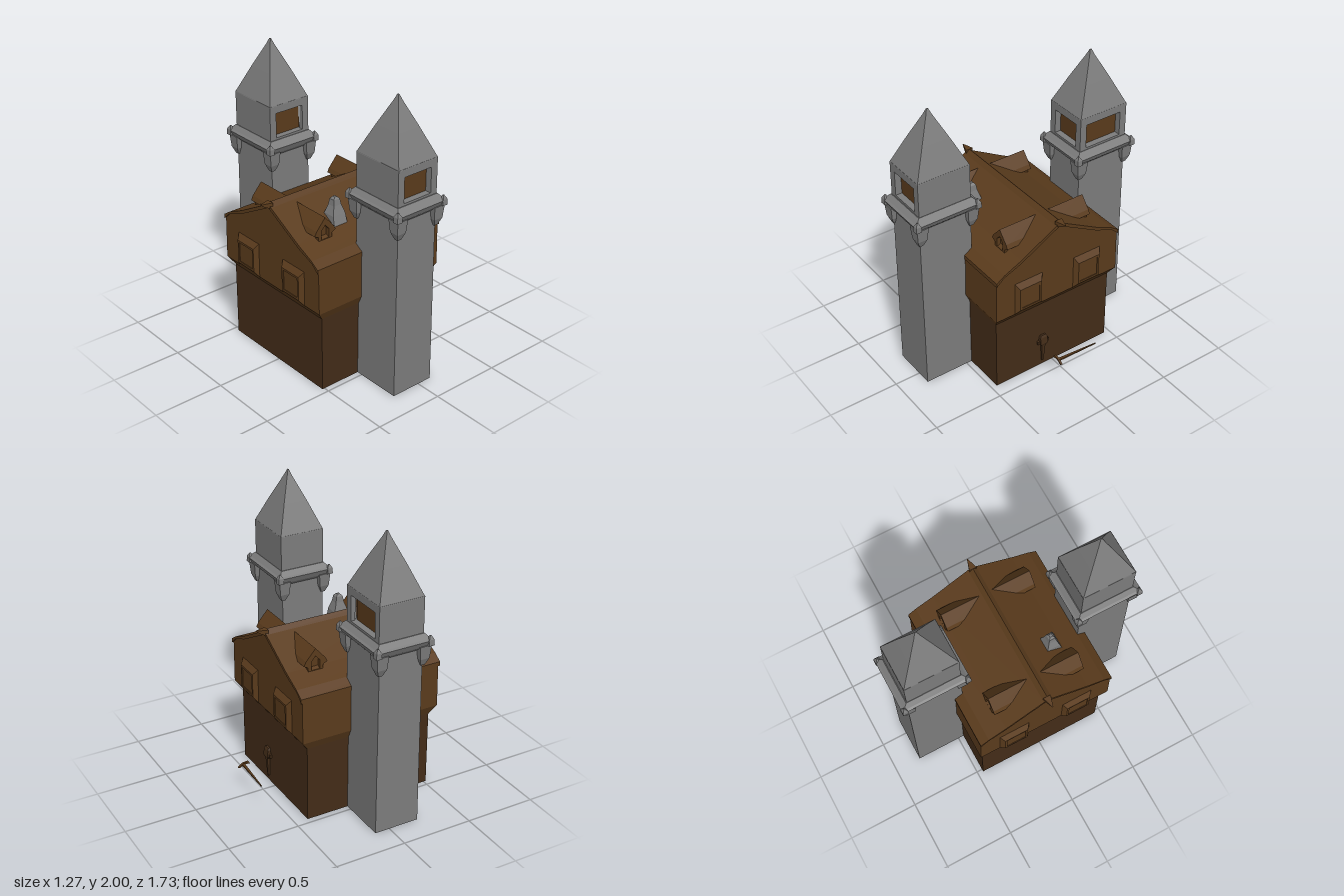
import * as THREE from 'three';

const CX = -0.055; // centre line of the building
const mat = (color) => new THREE.MeshStandardMaterial({ color, flatShading: true, side: THREE.DoubleSide });

// Stack of rectangular sections [y, halfX, halfZ], capped at both ends
function loft(sections) {
  const pos = [], idx = [];
  for (const [y, hx, hz] of sections) pos.push(-hx, y, hz, hx, y, hz, hx, y, -hz, -hx, y, -hz);
  for (let i = 0; i < sections.length - 1; i++) {
    for (let k = 0; k < 4; k++) {
      const a = i * 4 + k, b = i * 4 + (k + 1) % 4;
      idx.push(a, b, b + 4, a, b + 4, a + 4);
    }
  }
  const t = (sections.length - 1) * 4;
  idx.push(0, 2, 1, 0, 3, 2, t, t + 1, t + 2, t, t + 2, t + 3);
  const g = new THREE.BufferGeometry();
  g.setAttribute('position', new THREE.Float32BufferAttribute(pos, 3));
  g.setIndex(idx);
  const flat = g.toNonIndexed();
  flat.computeVertexNormals();
  return flat;
}

const polygon = (pts) => new THREE.Shape(pts.map(([x, y]) => new THREE.Vector2(x, y)));
const extrude = (shape, depth) => new THREE.ExtrudeGeometry(shape, { depth, bevelEnabled: false });

function add(parent, name, geometry, material, x = 0, y = 0, z = 0) {
  const mesh = new THREE.Mesh(geometry, material);
  mesh.name = name;
  mesh.position.set(x, y, z);
  parent.add(mesh);
  return mesh;
}

export function createModel() {
  const model = new THREE.Group();
  model.name = 'twinTowerHouse';
  const stone = mat(0x7c7c7c), wood = mat(0x5a3b1c), darkWood = mat(0x432c18);

  // Tower; openings lists the belfry sides (0 = +z, 1 = +x, 2 = -z, 3 = -x) with a recess
  function tower(name, z, openings) {
    const g = new THREE.Group();
    g.name = name;
    g.position.set(CX, 0, z);
    model.add(g);
    add(g, 'shaft', loft([[0, 0.16, 0.193], [1.28, 0.155, 0.19]]), stone);
    add(g, 'collar', loft([[1.26, 0.16, 0.195], [1.285, 0.185, 0.22], [1.325, 0.205, 0.24],
      [1.335, 0.19, 0.225], [1.365, 0.163, 0.195]]), stone);
    add(g, 'belfryCore', loft([[1.33, 0.115, 0.145], [1.6, 0.115, 0.145]]), wood);

    // Belfry walls, some with an opening
    for (let side = 0; side < 4; side++) {
      const w = side % 2 ? 0.19 : 0.16, d = side % 2 ? 0.16 : 0.19;
      const wall = polygon([[-w, 1.33], [w, 1.33], [w, 1.61], [-w, 1.61]]);
      if (openings.includes(side)) {
        const o = w - 0.03;
        wall.holes.push(polygon([[-o, 1.38], [-o, 1.555], [o, 1.555], [o, 1.38]]));
      }
      const geo = extrude(wall, 0.05).translate(0, 0, d - 0.05).rotateY(side * Math.PI / 2);
      add(g, 'belfryWall', geo, stone);
    }
    add(g, 'spire', loft([[1.605, 0.161, 0.191], [1.8, 0.085, 0.1], [1.96, 0.018, 0.022], [2, 0.003, 0.006]]), stone);

    // Corner brackets and upturned collar tips
    for (const sx of [-1, 1]) for (const sz of [-1, 1]) {
      add(g, 'bracket', loft([[1.15, 0.014, 0.014], [1.2, 0.034, 0.034], [1.29, 0.042, 0.042]]),
        stone, sx * 0.153, 0, sz * 0.188);
      add(g, 'collarTip', loft([[1.29, 0.02, 0.02], [1.33, 0.018, 0.018], [1.355, 0.004, 0.004]]),
        stone, sx * 0.188, 0, sz * 0.222);
    }
  }
  tower('frontTower', 0.623, [0]);
  tower('backTower', -0.623, [0, 1]);

  // House: ground floor, jetty and gabled upper floor
  const house = new THREE.Group();
  house.name = 'house';
  house.position.x = CX;
  model.add(house);
  add(house, 'groundFloor', loft([[0, 0.462, 0.46], [0.56, 0.462, 0.46]]), darkWood);
  add(house, 'jetty', loft([[0.54, 0.465, 0.463], [0.6, 0.508, 0.49]]), wood);
  const gable = polygon([[-0.49, 0.6], [0.49, 0.6], [0.485, 0.9], [0.43, 0.95], [0.3, 1.01], [0, 1.18],
    [-0.3, 1.01], [-0.43, 0.95], [-0.485, 0.9]]);
  add(house, 'upperFloor', extrude(gable, 1.016).translate(0, 0, -0.508).rotateY(Math.PI / 2), wood);

  // Roof skin, slightly proud of the gables
  const skin = polygon([[-0.49, 0.895], [-0.435, 0.945], [-0.3, 1.0], [0, 1.165], [0.3, 1.0], [0.435, 0.945],
    [0.49, 0.895], [0.49, 0.925], [0.43, 0.965], [0.3, 1.025], [0.03, 1.175], [0, 1.205],
    [-0.03, 1.175], [-0.3, 1.025], [-0.43, 0.965], [-0.49, 0.925]]);
  add(house, 'roof', extrude(skin, 1.036).translate(0, 0, -0.518).rotateY(Math.PI / 2), wood);

  for (const sx of [-1, 1]) {
    // Pointed ridge end
    const tip = polygon([[0.5, 1.205], [0.58, 1.205], [0.555, 1.185], [0.515, 1.165], [0.5, 1.15]]);
    const tipGeo = extrude(tip, 0.04).translate(0, 0, -0.02);
    const p = tipGeo.attributes.position;
    for (let i = 0; i < p.count; i++) {
      p.setZ(i, p.getZ(i) * Math.max(0.1, (0.58 - p.getX(i)) / 0.06));
    }
    tipGeo.rotateY(sx < 0 ? Math.PI : 0);
    tipGeo.computeVertexNormals();
    add(house, 'ridgeTip', tipGeo, wood);

    for (const sz of [-1, 1]) {
      // Raised side window with sloped edges
      const bay = loft([[0, 0.13, 0.112], [0.035, 0.085, 0.085], [0.0351, 0.07, 0.07], [0.03, 0.07, 0.07]]);
      bay.rotateZ(-sx * Math.PI / 2);
      add(house, 'sideWindow', bay, wood, sx * 0.503, 0.722, sz * 0.235);

      // Dormer with a recessed window
      const dormer = new THREE.Group();
      dormer.name = 'dormer';
      dormer.position.x = sx * 0.325;
      dormer.rotation.y = sz < 0 ? Math.PI : 0;
      house.add(dormer);
      const outline = [[-0.05, 0.96], [0.05, 0.96], [0.055, 1.04], [0.085, 1.055], [0.07, 1.085], [0, 1.165],
        [-0.07, 1.085], [-0.085, 1.055], [-0.055, 1.04]];
      add(dormer, 'dormerBody', extrude(polygon(outline), 0.26).translate(0, 0, 0.04), wood);
      const face = polygon(outline);
      face.holes.push(polygon([[-0.032, 1.015], [-0.032, 1.075], [0, 1.11], [0.032, 1.075], [0.032, 1.015]]));
      add(dormer, 'dormerFace', extrude(face, 0.03).translate(0, 0, 0.3), wood);
    }
  }

  // Chimney on the front slope
  add(model, 'chimney', loft([[1.0, 0.055, 0.07], [1.1, 0.05, 0.045], [1.16, 0.03, 0.028],
    [1.2, 0.024, 0.022], [1.215, 0.01, 0.01]]), stone, -0.21, 0, 0.22);

  // Wall lamp by the side entrance
  add(model, 'wallLamp', loft([[0.04, 0.006, 0.006], [0.18, 0.014, 0.014], [0.2, 0.022, 0.03],
    [0.25, 0.016, 0.028], [0.265, 0.008, 0.02]]), darkWood, 0.412, 0, 0.085);
  add(model, 'lampArm', new THREE.BoxGeometry(0.02, 0.025, 0.09), darkWood, 0.412, 0.21, 0.085);

  // Thin loose rail with a cross piece, standing off from the wall
  const rail = loft([[-0.15, 0.01, 0.006], [0.15, 0.003, 0.003]]).rotateX(-Math.PI / 2);
  add(model, 'rail', rail, wood, 0.607, 0.18, -0.06).rotation.y = -0.05;
  const bar = polygon([[0.55, 0.175], [0.56, 0.193], [0.6, 0.19], [0.638, 0.165], [0.63, 0.16], [0.59, 0.18]]);
  add(model, 'railCrossPiece', extrude(bar, 0.014), wood, 0, 0, 0.086);
  return model;
}
